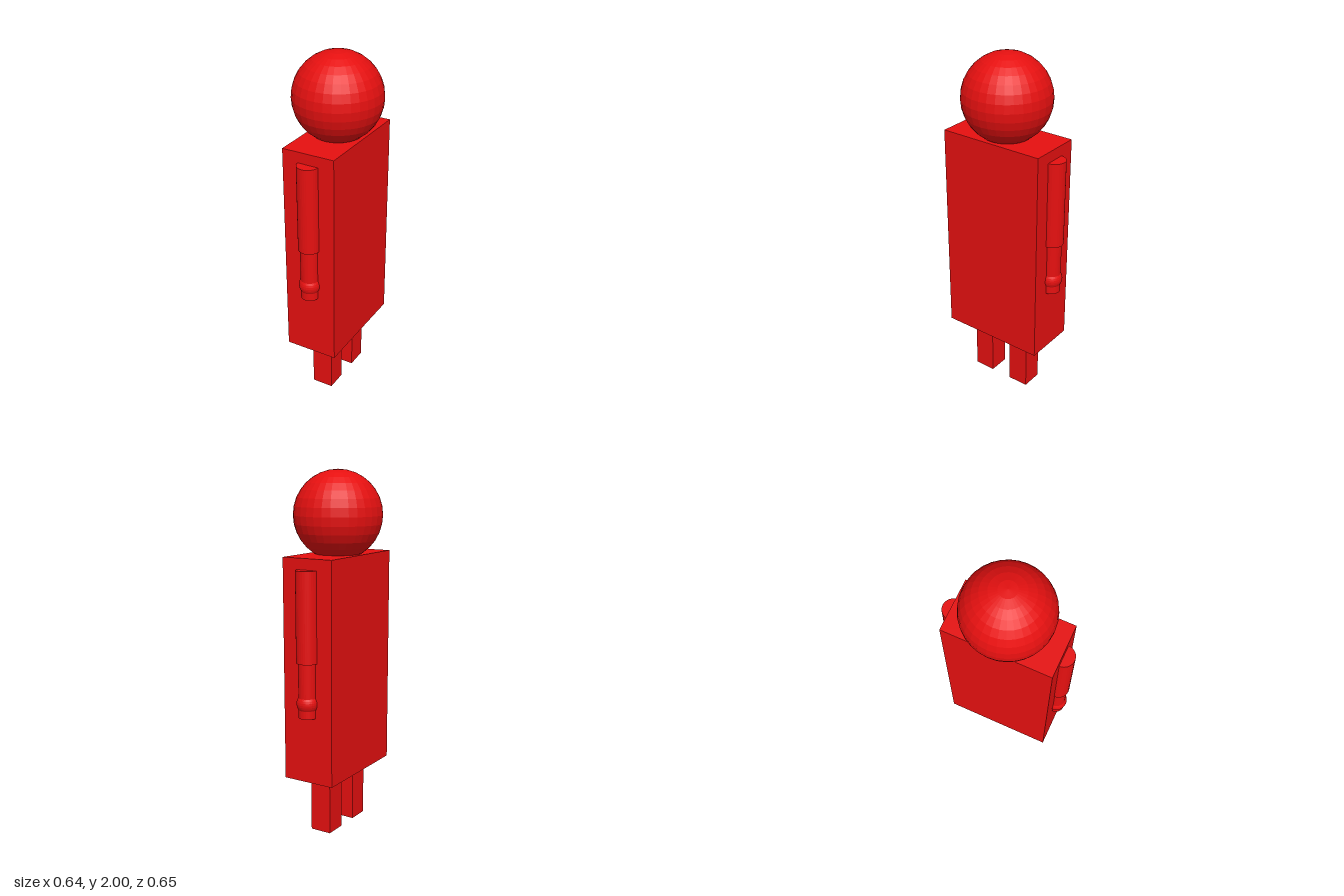
import * as THREE from 'three';

export function createModel() {
  const red = new THREE.MeshStandardMaterial({ color: 0xe61010, flatShading: true });
  red.name = 'red';

  const model = new THREE.Group();
  model.name = 'figure';

  function add(parent, name, geometry, x, y) {
    const mesh = new THREE.Mesh(geometry, red);
    mesh.name = name;
    mesh.position.set(x, y, 0);
    parent.add(mesh);
  }

  // head and slab-shaped torso
  add(model, 'head', new THREE.SphereGeometry(0.243, 32, 16), 0, 1.757);
  add(model, 'torso', new THREE.BoxGeometry(0.612, 1.22, 0.302), 0, 0.94);

  for (const side of [-1, 1]) {
    const prefix = side > 0 ? 'left' : 'right';

    // arm, half sunk into the end face of the torso
    const arm = new THREE.Group();
    arm.name = prefix + 'Arm';
    arm.position.x = side * 0.306;
    add(arm, 'upperArm', new THREE.CylinderGeometry(0.06, 0.06, 0.49, 32), 0, 1.245);
    add(arm, 'forearm', new THREE.CylinderGeometry(0.05, 0.05, 0.3, 32), 0, 0.85);
    add(arm, 'hand', new THREE.SphereGeometry(0.06, 32, 16), 0, 0.778);
    model.add(arm);

    // leg
    add(model, prefix + 'Leg', new THREE.BoxGeometry(0.122, 0.33, 0.122), side * 0.124, 0.165);
  }

  // the whole figure is turned about the vertical axis
  model.rotation.y = 0.8;
  const root = new THREE.Group();
  root.name = 'model';
  root.add(model);
  return root;
}
